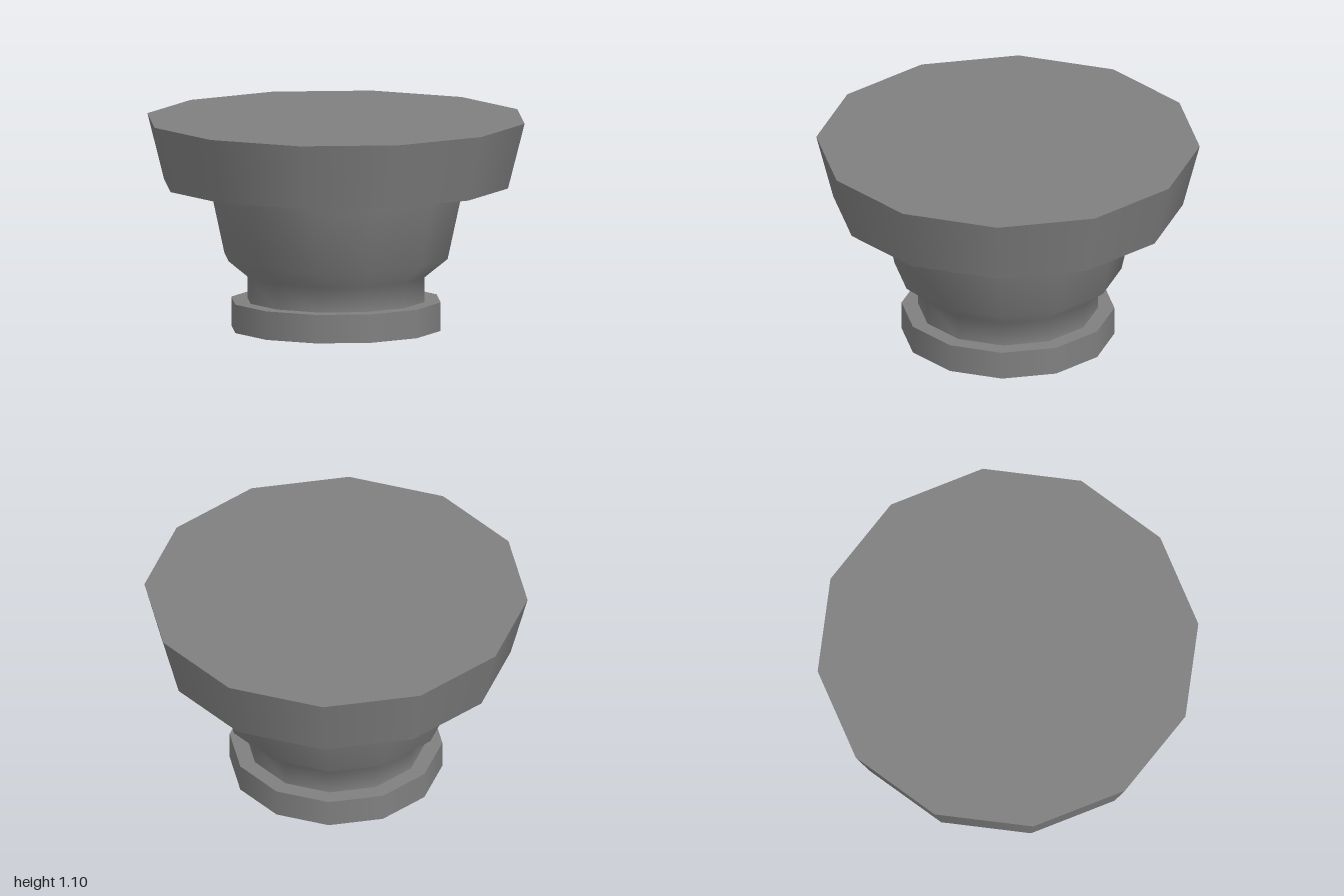
import * as THREE from 'three';

const SIDES = 12;

export function createModel() {
  const group = new THREE.Group();
  const grey = new THREE.MeshStandardMaterial({ color: 0x808080 });
  grey.name = 'grey';

  function add(name, geometry, y = 0) {
    const mesh = new THREE.Mesh(geometry, grey);
    mesh.name = name;
    mesh.position.y = y;
    group.add(mesh);
  }

  // Straight foot disc
  add('foot', new THREE.CylinderGeometry(0.555, 0.555, 0.15, SIDES), 0.075);

  // Smooth stem: narrow neck flaring into a bowl
  const profile = [[0.47, 0.15], [0.47, 0.28], [0.592, 0.38], [0.675, 0.76]];
  add('stem', new THREE.LatheGeometry(profile.map(([r, y]) => new THREE.Vector2(r, y)), SIDES));

  // Wide tapered top with flat closed faces
  add('rim', new THREE.CylinderGeometry(1, 0.912, 0.343, SIDES), 0.9315);

  return group;
}
